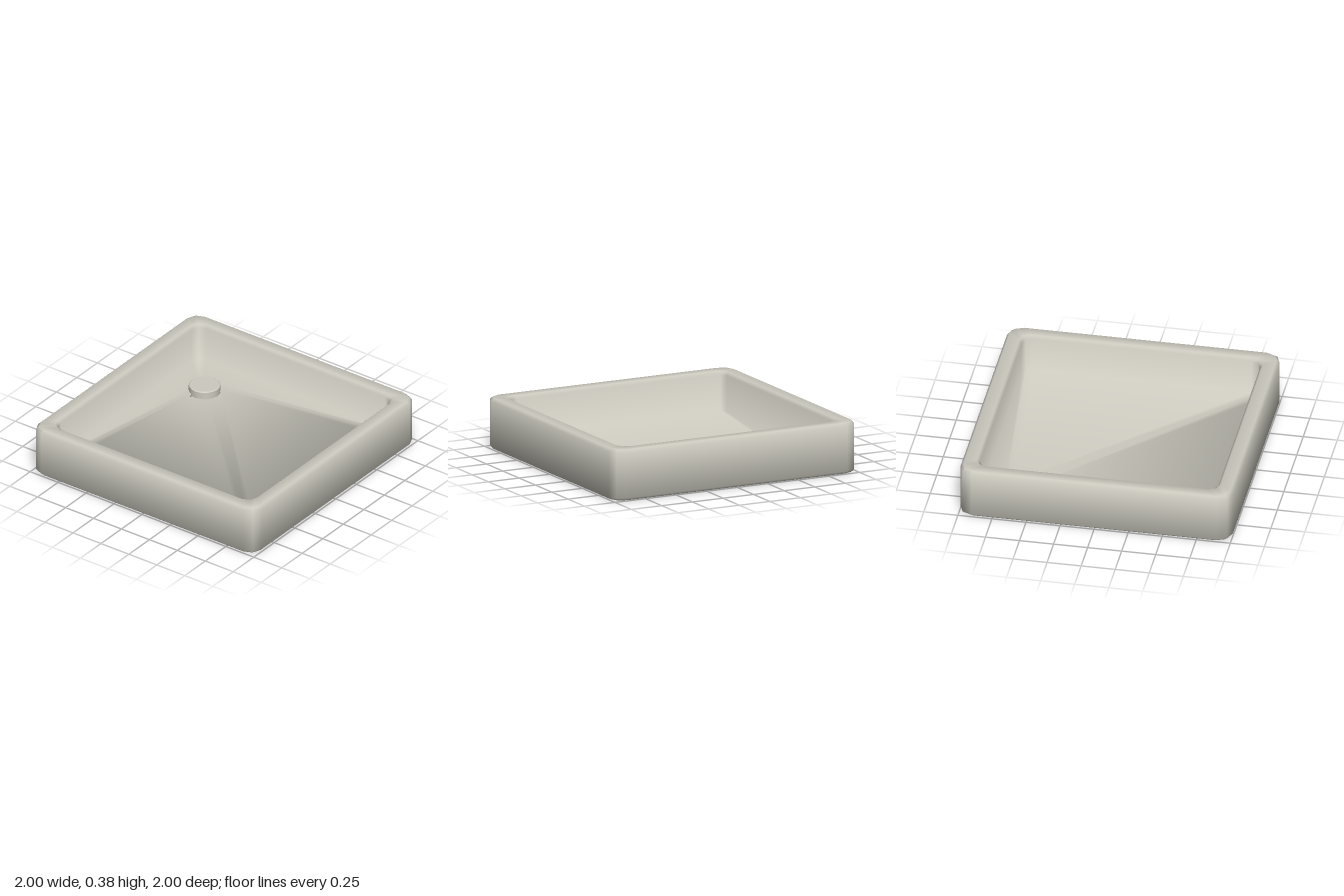
import * as THREE from 'three';

const DRAIN = [0.615, -0.625];

// Twelve directions round a square: three per rounded corner.
const dirs = [];
for (let k = 0; k < 4; k++) {
  for (let s = 0; s < 3; s++) dirs.push({ corner: k, angle: (k + s / 2) * Math.PI / 2 });
}

// Rounded square outline with half width h and corner radius r.
function squareLoop(h, r) {
  return dirs.map(({ corner, angle }) => {
    const c = (corner + 0.5) * Math.PI / 2;
    return [
      Math.sign(Math.cos(c)) * (h - r) + r * Math.cos(angle),
      Math.sign(Math.sin(c)) * (h - r) + r * Math.sin(angle),
    ];
  });
}

// Joins rings { loop, h, y } with softly averaged profile normals.
function loftRings(rings) {
  const pos = [], nor = [], idx = [], n = dirs.length;
  const segment = (i) => {
    if (i < 0 || i >= rings.length - 1) return new THREE.Vector2();
    const a = rings[i], b = rings[i + 1];
    return new THREE.Vector2(b.y - a.y, a.h - b.h).normalize();
  };
  rings.forEach((ring, i) => {
    const m = segment(i - 1).add(segment(i)).normalize();
    ring.loop.forEach(([x, z], j) => {
      pos.push(x, ring.y, z);
      nor.push(m.x * Math.cos(dirs[j].angle), m.y, m.x * Math.sin(dirs[j].angle));
      if (i < rings.length - 1) {
        const a = i * n + j, b = i * n + (j + 1) % n;
        idx.push(a, a + n, b, b, a + n, b + n);
      }
    });
  });
  const g = new THREE.BufferGeometry();
  g.setAttribute('position', new THREE.Float32BufferAttribute(pos, 3));
  g.setAttribute('normal', new THREE.Float32BufferAttribute(nor, 3));
  g.setIndex(idx);
  return g;
}

// Flat plate from an x,z outline, facing up or down.
function plate(loop, y, up) {
  const shape = new THREE.Shape(loop.map(([x, z]) => new THREE.Vector2(x, up ? -z : z)));
  const g = new THREE.ShapeGeometry(shape);
  g.rotateX(up ? -Math.PI / 2 : Math.PI / 2);
  g.translate(0, y, 0);
  return g;
}

export function createModel() {
  const group = new THREE.Group();
  const ceramic = new THREE.MeshStandardMaterial({ color: 0xcccabf });
  ceramic.name = 'warm white ceramic';

  const add = (name, geometry) => {
    const mesh = new THREE.Mesh(geometry, ceramic);
    mesh.name = name;
    group.add(mesh);
    return mesh;
  };

  // Outer wall, rim, inner wall and the floor edge.
  const profile = [
    [0.98, 0, 0.09], [1, 0.02, 0.1], [1, 0.355, 0.1], [0.98, 0.375, 0.09],
    [0.895, 0.375, 0.08], [0.875, 0.355, 0.075], [0.875, 0.09, 0.075],
  ];
  const rings = profile.map(([h, y, r]) => ({ h, y, loop: squareLoop(h, r) }));

  // Uneven edge of the drain hole, where the floor slopes down to.
  const hole = [
    [0.11, 0], [0.08, 0.08], [0.05, 0.1],
    [0.025, 0.145], [-0.105, 0.105], [-0.145, -0.025],
    [-0.1, -0.04], [-0.08, -0.08], [-0.04, -0.1],
    [0.08, -0.125], [0.115, -0.11], [0.125, -0.08],
  ].map(([x, z]) => [x + DRAIN[0], z + DRAIN[1]]);
  rings.push({ h: 0.12, y: 0.035, loop: hole });
  add('tray', loftRings(rings));

  // Underside
  add('underside', plate(rings[0].loop, 0, false));

  // Sunken well around the drain
  add('drainWellWall', loftRings([
    { h: 0.12, y: 0.035, loop: hole },
    { h: 0.12, y: 0.02, loop: hole },
  ]));
  add('drainWellFloor', plate(hole, 0.02, true));

  // Round drain cover with a bevelled edge
  const cover = new THREE.CylinderGeometry(0.115, 0.115, 0.055, 20);
  cover.translate(0, 0.0475, 0);
  add('drainCover', cover).position.set(DRAIN[0], 0, DRAIN[1]);
  const bevel = new THREE.CylinderGeometry(0.107, 0.115, 0.006, 20);
  bevel.translate(0, 0.078, 0);
  add('drainCoverBevel', bevel).position.set(DRAIN[0], 0, DRAIN[1]);

  return group;
}
